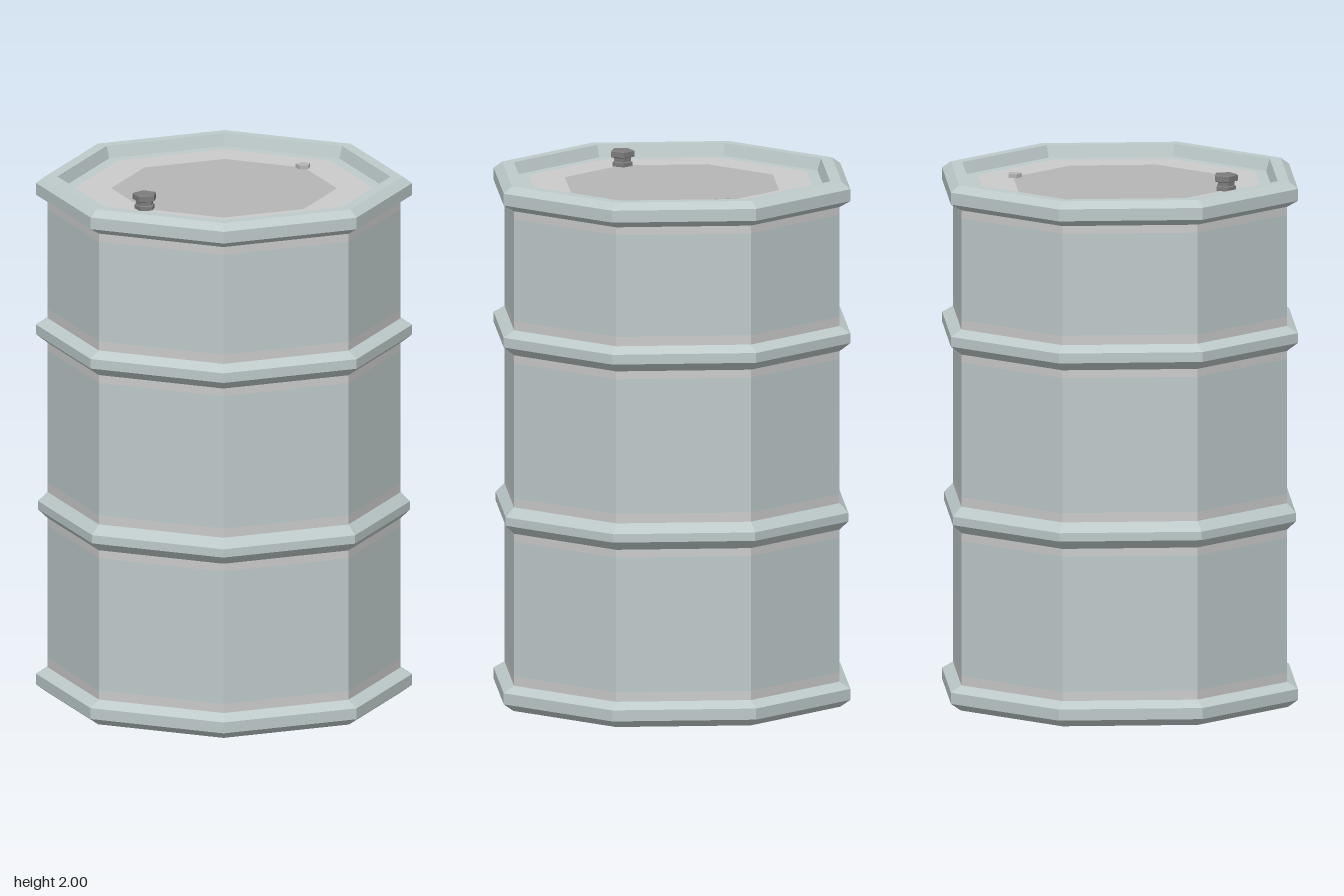
import * as THREE from 'three';

const SIDES = 8;
const paint = (color) => new THREE.MeshStandardMaterial({ color, flatShading: true });

export function createModel() {
  const group = new THREE.Group();
  const steel = paint(0xbecaca);
  const worn = paint(0xc2c0c0);
  const grey = paint(0xcccccc);
  const shade = paint(0xb6b6b6);
  const dark = paint(0x7c7c7c);

  // Octagonal ring swept from a [radius, height] profile, running bottom to top
  const ring = (name, material, profile, sides = SIDES) => {
    const points = profile.map(([r, y]) => new THREE.Vector2(r, y));
    const mesh = new THREE.Mesh(new THREE.LatheGeometry(points, sides), material);
    mesh.name = name;
    group.add(mesh);
    return mesh;
  };

  const R = 0.657;

  // Recessed base and bottom rim
  ring('baseCentre', shade, [[0, 0.05], [0.42, 0.05]]);
  ring('basePlate', grey, [[0.42, 0.05], [0.56, 0.05]]);
  ring('bottomRim', steel, [
    [0.56, 0.05], [0.605, 0.05], [0.62, 0.003], [0.66, 0],
    [0.70, 0.028], [0.70, 0.07], [R, 0.095],
  ]);

  // Rolling hoops
  const hoops = [[0.67, 0.703, 0.735, 0.77, 0.692], [1.345, 1.378, 1.415, 1.44, 0.70]];
  for (const [y0, y1, y2, y3, r] of hoops) {
    ring('hoop', steel, [[R, y0], [r, y1], [r, y2], [R, y3]]);
  }

  // Wall panels with worn bands next to the hoops and rims
  const walls = [[0.095, 0.67], [0.77, 1.345], [1.44, 1.89]];
  for (const [y0, y1] of walls) {
    const a = y0 + 0.035;
    const b = y1 - 0.03;
    ring('wornBand', worn, [[R, y0], [R, a]]);
    ring('wall', steel, [[R, a], [R, b]]);
    ring('wornBand', worn, [[R, b], [R, y1]]);
  }

  // Top rim and recessed lid
  const lidY = 1.94;
  ring('topRim', steel, [
    [R, 1.89], [0.70, 1.915], [0.70, 1.96], [0.666, 1.985],
    [0.62, 1.985], [0.605, lidY], [0.56, lidY],
  ]);
  ring('lid', grey, [[0.56, lidY], [0.42, lidY]]);
  ring('lidCentre', shade, [[0.42, lidY], [0, lidY]]);

  // Five-sided filler cap with a narrow neck, and a small vent plug
  const cap = ring('fillerCap', dark, [
    [0.04, lidY], [0.04, 1.955], [0.034, 1.958], [0.034, 1.972],
    [0.047, 1.976], [0.047, 1.996], [0.042, 2], [0, 2],
  ], 5);
  cap.position.x = -0.415;
  const plug = ring('ventPlug', shade, [
    [0.028, lidY], [0.028, 1.955], [0, 1.955],
  ], 5);
  plug.position.x = 0.415;

  return group;
}
